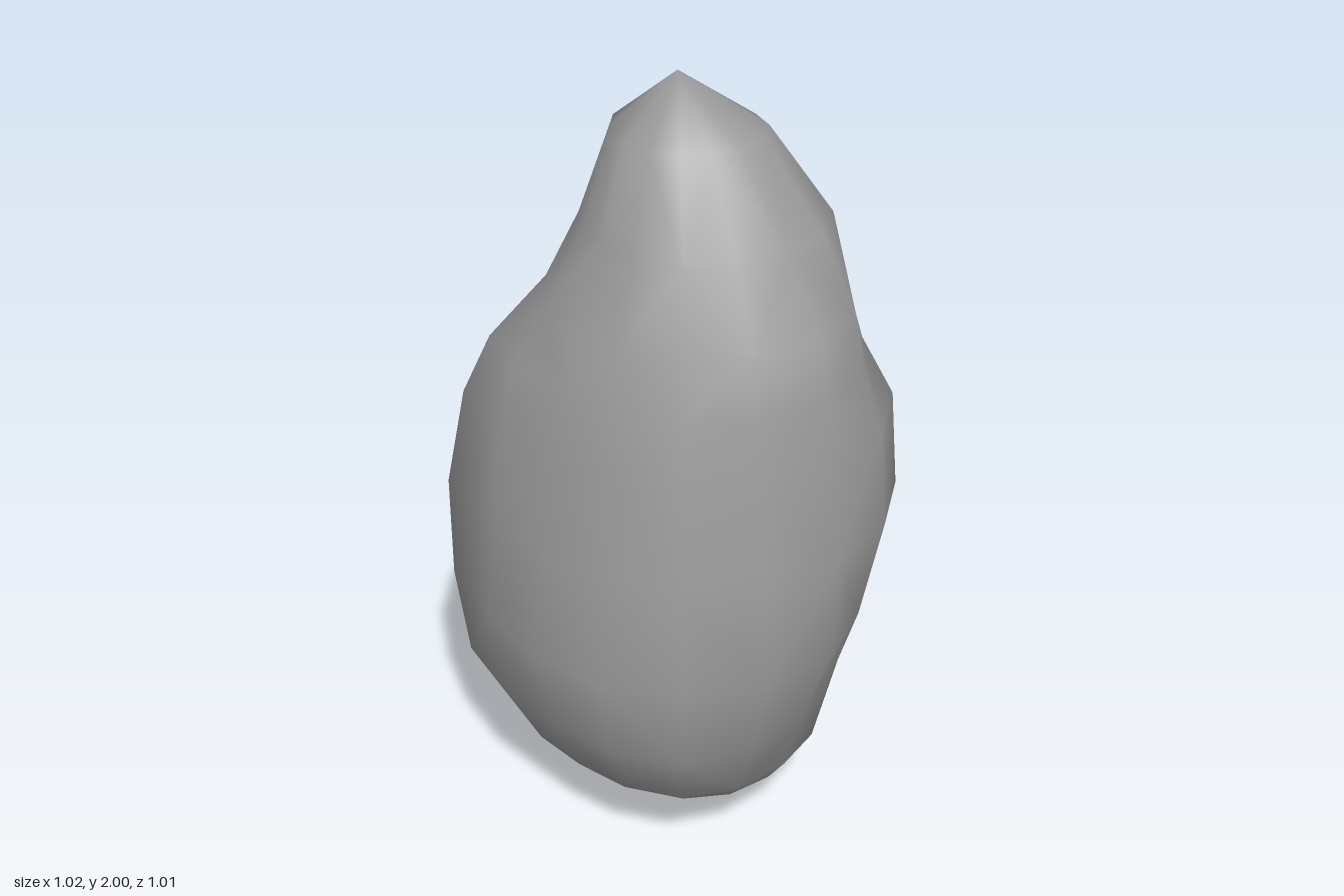
import * as THREE from 'three';

const SIDES = 16;

// Each ring: height, centre x, centre z, then the reach in eight directions
// turning from +x through +z, -x and -z
const RINGS = [
  [0.05, -0.14, -0.13, 0.01, -0.06, 0.00, 0.11, 0.27, 0.31, 0.24, 0.11],
  [0.09, -0.09, -0.09, 0.11, 0.04, 0.06, 0.14, 0.31, 0.36, 0.28, 0.18],
  [0.14, -0.04, -0.04, 0.27, 0.25, 0.24, 0.24, 0.36, 0.41, 0.32, 0.27],
  [0.26, 0, 0, 0.36, 0.39, 0.37, 0.45, 0.48, 0.46, 0.36, 0.36],
  [0.43, 0, 0, 0.41, 0.47, 0.45, 0.55, 0.51, 0.48, 0.40, 0.41],
  [0.67, 0, 0, 0.50, 0.52, 0.51, 0.58, 0.50, 0.46, 0.44, 0.44],
  [0.94, 0, 0, 0.51, 0.49, 0.46, 0.58, 0.50, 0.44, 0.505, 0.52],
  [1.19, 0, 0, 0.475, 0.45, 0.43, 0.53, 0.45, 0.40, 0.38, 0.50],
  [1.34, 0, 0, 0.46, 0.41, 0.39, 0.46, 0.38, 0.39, 0.33, 0.42],
  [1.48, 0, 0, 0.44, 0.36, 0.36, 0.33, 0.32, 0.37, 0.29, 0.38],
  [1.66, 0, 0, 0.32, 0.30, 0.26, 0.24, 0.22, 0.29, 0.25, 0.34],
  [1.87, 0, 0.01, 0.195, 0.185, 0.185, 0.165, 0.175, 0.16, 0.155, 0.19],
];

// Local bulges (+) and dents (-): angle, height, amount, angular width, height width
const BUMPS = [
  [201, 1.5, 0.04, 16, 0.13],
  [212, 1.2, -0.02, 16, 0.1],
  [112, 0.8, -0.035, 13, 0.5],
  [148, 0.6, 0.02, 10, 0.4],
  [60, 0.95, -0.015, 13, 0.18],
  [335, 0.5, -0.02, 14, 0.14],
  [292, 0.94, 0.015, 12, 0.14],
];

function bumpAt(degrees, y) {
  return BUMPS.reduce((sum, [angle, height, amount, spread, tall]) => {
    const u = (degrees - angle) / spread, v = (y - height) / tall;
    return sum + amount * Math.exp(-u * u - v * v);
  }, 0);
}

// Smooth closed interpolation between the eight radii of a ring
function radiusAt(radii, t) {
  const i = Math.floor(t), f = t - i;
  const [a, b, c, d] = [-1, 0, 1, 2].map((k) => radii[(i + k + 8) % 8]);
  return b + 0.5 * f * (c - a + f * (2 * a - 5 * b + 4 * c - d + f * (3 * (b - c) + d - a)));
}

function boulderGeometry() {
  const pos = [-0.14, 0, -0.13]; // lowest point
  for (const [y, cx, cz, ...reach] of RINGS) {
    const radii = reach.map((r, k) => {
      const a = (k * Math.PI) / 4;
      return r - cx * Math.cos(a) - cz * Math.sin(a);
    });
    for (let s = 0; s < SIDES; s++) {
      const a = (s / SIDES) * Math.PI * 2;
      const r = radiusAt(radii, (s * 8) / SIDES) + bumpAt((s * 360) / SIDES, y);
      pos.push(cx + r * Math.cos(a), y, cz + r * Math.sin(a));
    }
  }
  pos.push(0, 2, 0.02); // peak
  const peak = pos.length / 3 - 1;

  const index = [];
  const at = (ring, s) => 1 + ring * SIDES + (s % SIDES);
  const last = RINGS.length - 1;
  for (let s = 0; s < SIDES; s++) {
    index.push(0, at(0, s), at(0, s + 1));
    for (let r = 0; r < last; r++) {
      const a = at(r, s), b = at(r, s + 1), c = at(r + 1, s + 1), d = at(r + 1, s);
      // alternate the diagonals for an irregular stone surface
      if ((r + s) % 2) index.push(a, d, b, b, d, c);
      else index.push(a, d, c, a, c, b);
    }
    index.push(at(last, s), peak, at(last, s + 1));
  }

  const geometry = new THREE.BufferGeometry();
  geometry.setAttribute('position', new THREE.Float32BufferAttribute(pos, 3));
  geometry.setIndex(index);
  geometry.computeVertexNormals();
  return geometry;
}

export function createModel() {
  const model = new THREE.Group();
  model.name = 'rock';
  const boulder = new THREE.Mesh(
    boulderGeometry(),
    new THREE.MeshStandardMaterial({ color: 0x9c9c9c })
  );
  boulder.name = 'boulder';
  model.add(boulder);
  return model;
}
